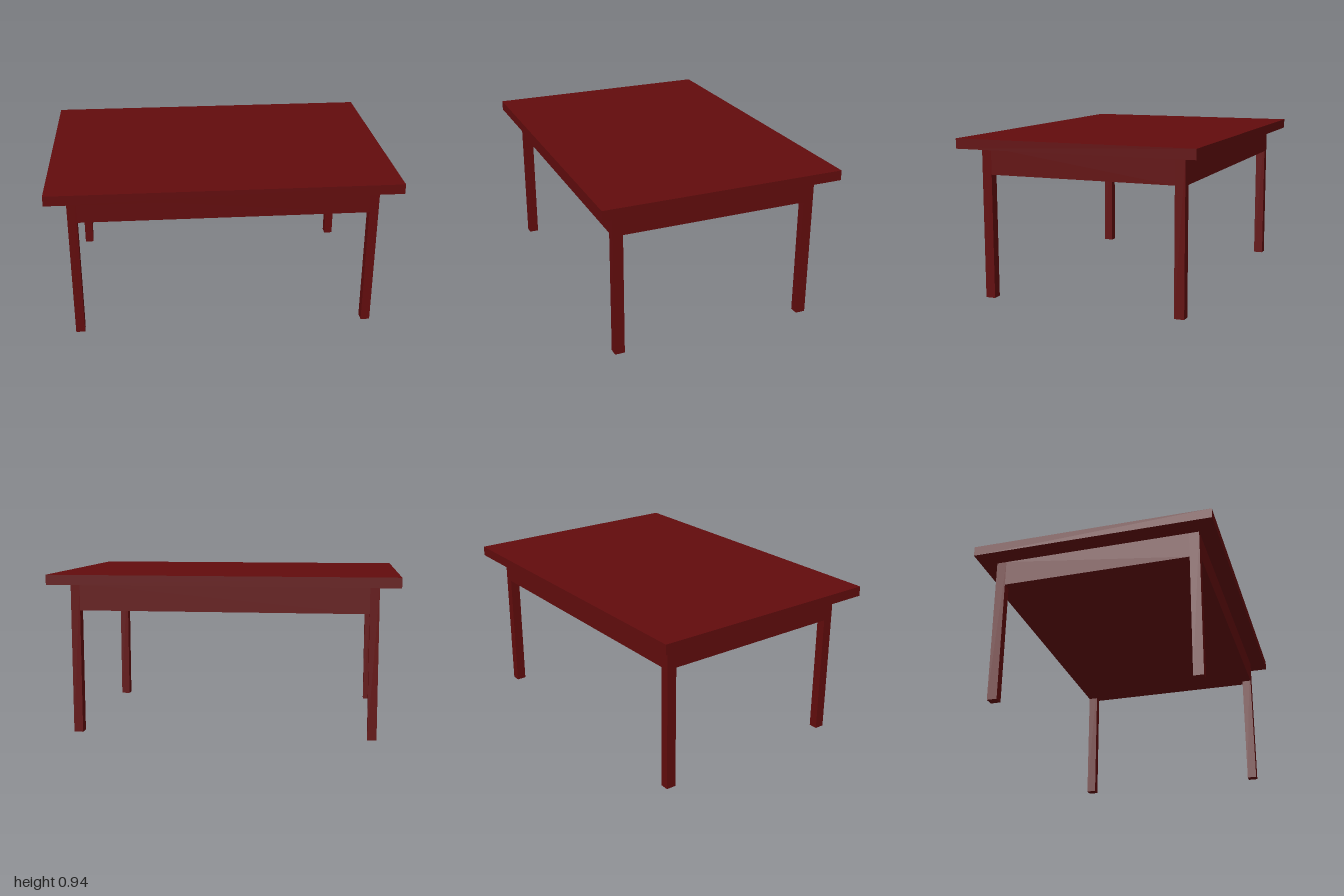
import * as THREE from 'three';

export function createModel() {
  const table = new THREE.Group();
  table.name = 'table';
  const wood = new THREE.MeshStandardMaterial({ color: 0x620c0d });
  wood.name = 'dark red wood';

  const topY = 0.935, undersideY = 0.877, apronY = 0.723;
  const outerX = 0.885, outerZ = 0.608; // outer faces of the legs
  const legX = 0.053, legZ = 0.058;     // leg thickness

  function addBox(name, w, h, d, x, y, z) {
    const mesh = new THREE.Mesh(new THREE.BoxGeometry(w, h, d), wood);
    mesh.name = name;
    mesh.position.set(x, y, z);
    table.add(mesh);
  }

  // Flat rectangular top
  addBox('tableTop', 2, topY - undersideY, 1.41, 0, (topY + undersideY) / 2, 0);

  // Solid apron block, notched at its corners so the legs sit flush
  const ix = outerX - legX, iz = outerZ - legZ;
  const outline = new THREE.Shape([
    [-ix, -outerZ], [ix, -outerZ], [ix, -iz], [outerX, -iz],
    [outerX, iz], [ix, iz], [ix, outerZ], [-ix, outerZ],
    [-ix, iz], [-outerX, iz], [-outerX, -iz], [-ix, -iz],
  ].map(([x, z]) => new THREE.Vector2(x, z)));
  const apronGeometry = new THREE.ExtrudeGeometry(outline, {
    depth: undersideY - apronY, bevelEnabled: false,
  });
  apronGeometry.rotateX(-Math.PI / 2);
  const apron = new THREE.Mesh(apronGeometry, wood);
  apron.name = 'apron';
  apron.position.y = apronY;
  table.add(apron);

  // Four straight square legs
  for (const [side, sx] of [['Left', 1], ['Right', -1]]) {
    for (const [end, sz] of [['front', 1], ['back', -1]]) {
      addBox(`${end}${side}Leg`, legX, undersideY, legZ,
        sx * (outerX - legX / 2), undersideY / 2, sz * (outerZ - legZ / 2));
    }
  }
  return table;
}
